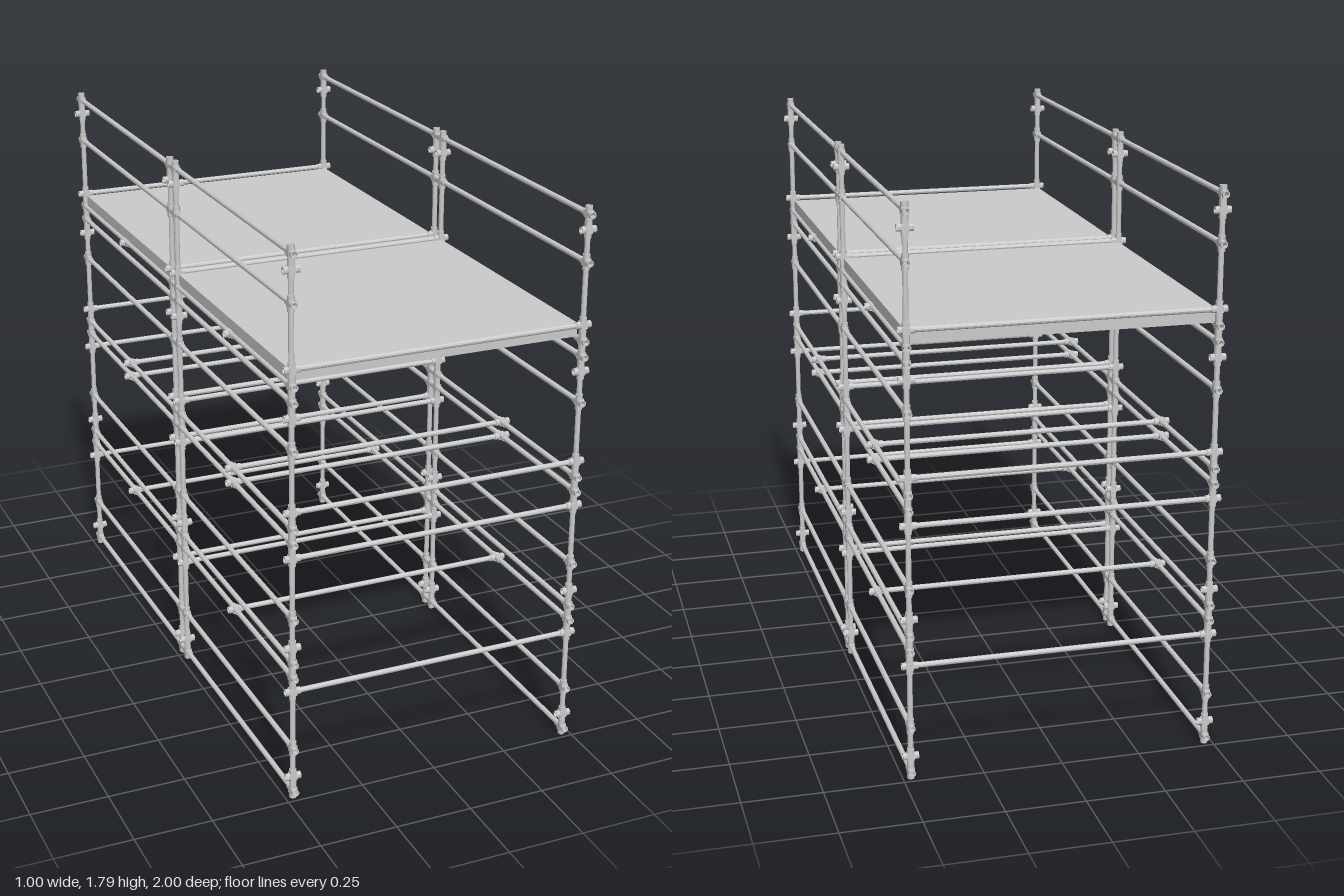
import * as THREE from 'three';
import { mergeGeometries, toCreasedNormals } from 'three/addons/utils/BufferGeometryUtils.js';

const UNIT = 0.0497;          // vertical spacing module
const ARM = UNIT / 2;         // reach of a coupler arm
const BASE = 0.025;
const X = 0.475;
const POST_Z = [-0.975, -0.025, 0.025, 0.975];
const MID_Z = [-0.5, 0.5];

// Module numbers of the couplers on every post
const RAIL = [0, 3, 8, 9, 12, 17, 18, 23, 26, 27, 32, 35]; // carry lengthwise rails
const CROSS = [7, 16, 19, 28];                            // carry crossbars
const SPARE = [1, 10, 25, 34];                            // empty couplers
const BRACED = [8, 17, 18, 27];                           // rails with a mid crossbar
const level = (k) => BASE + k * UNIT;

const grey = new THREE.MeshStandardMaterial({ color: 0xcccccc });

// Hollow round tube along y, from y0 to y1
function tubeGeometry(outer, inner, y0, y1) {
  const profile = [[outer, y0], [outer, y1], [inner, y1], [inner, y0], [outer, y0]];
  const lathe = new THREE.LatheGeometry(profile.map(([r, y]) => new THREE.Vector2(r, y)), 10);
  return toCreasedNormals(lathe, 0.9);
}

// Four-way hollow coupler in the yz plane, closed by a cheek on each side
function couplerGeometry() {
  const parts = [];
  for (let i = 0; i < 4; i++) {
    parts.push(tubeGeometry(0.0115, 0.008, 0.0095, ARM).rotateX(i * Math.PI / 2));
  }
  for (const s of [-1, 1]) {
    parts.push(new THREE.BoxGeometry(0.003, 0.022, 0.022).toNonIndexed().translate(s * 0.0098, 0, 0));
  }
  return mergeGeometries(parts);
}

export function createModel() {
  const model = new THREE.Group();
  model.name = 'scaffold';
  const groups = {};
  const add = (group, name, geometry) => {
    if (!groups[group]) {
      groups[group] = new THREE.Group();
      groups[group].name = group;
      model.add(groups[group]);
    }
    const mesh = new THREE.Mesh(geometry, grey);
    mesh.name = name;
    groups[group].add(mesh);
    return mesh;
  };

  const yzCoupler = couplerGeometry();
  const xyCoupler = yzCoupler.clone().rotateY(Math.PI / 2);
  const xzCoupler = yzCoupler.clone().rotateZ(Math.PI / 2);
  const pipe = (length) => tubeGeometry(0.0085, 0.0072, -length / 2, length / 2);
  const crossbar = pipe(2 * (X - ARM)).rotateZ(Math.PI / 2);

  const levels = [...RAIL, ...CROSS, ...SPARE].sort((a, b) => a - b);

  for (const x of [-X, X]) {
    for (const z of POST_Z) {
      // Post couplers, and the pipes between them
      levels.forEach((k, i) => {
        const coupler = RAIL.includes(k) ? yzCoupler : xyCoupler;
        add('postCouplers', 'postCoupler', coupler).position.set(x, level(k), z);
        const gap = levels[i + 1] - k - 1;
        if (gap > 0) {
          add('posts', 'postPipe', pipe(gap * UNIT)).position.set(x, level(k) + (gap + 1) * UNIT / 2, z);
        }
      });
    }

    // Lengthwise rails of both bays, split where a mid crossbar joins
    for (const k of RAIL) {
      for (const mid of MID_Z) {
        const inner = Math.sign(mid) * 0.025;
        const outer = Math.sign(mid) * 0.975;
        const stops = BRACED.includes(k) ? [inner, mid, outer] : [inner, outer];
        for (let i = 0; i + 1 < stops.length; i++) {
          const length = Math.abs(stops[i + 1] - stops[i]) - 2 * ARM;
          add('rails', 'rail', pipe(length).rotateX(Math.PI / 2))
            .position.set(x, level(k), (stops[i] + stops[i + 1]) / 2);
        }
        if (BRACED.includes(k)) {
          add('railCouplers', 'railCoupler', xzCoupler).position.set(x, level(k), mid);
        }
      }
    }
  }

  // Crossbars between the posts and between the rail middles
  for (const k of CROSS) {
    for (const z of POST_Z) add('crossbars', 'postCrossbar', crossbar).position.set(0, level(k), z);
  }
  for (const k of BRACED) {
    for (const z of MID_Z) add('crossbars', 'midCrossbar', crossbar).position.set(0, level(k), z);
  }

  // Platform resting on the upper mid crossbars
  add('platform', 'deck', new THREE.BoxGeometry(2 * X, 0.043, 1.9)).position.set(0, 1.391, -0.006);

  return model;
}
